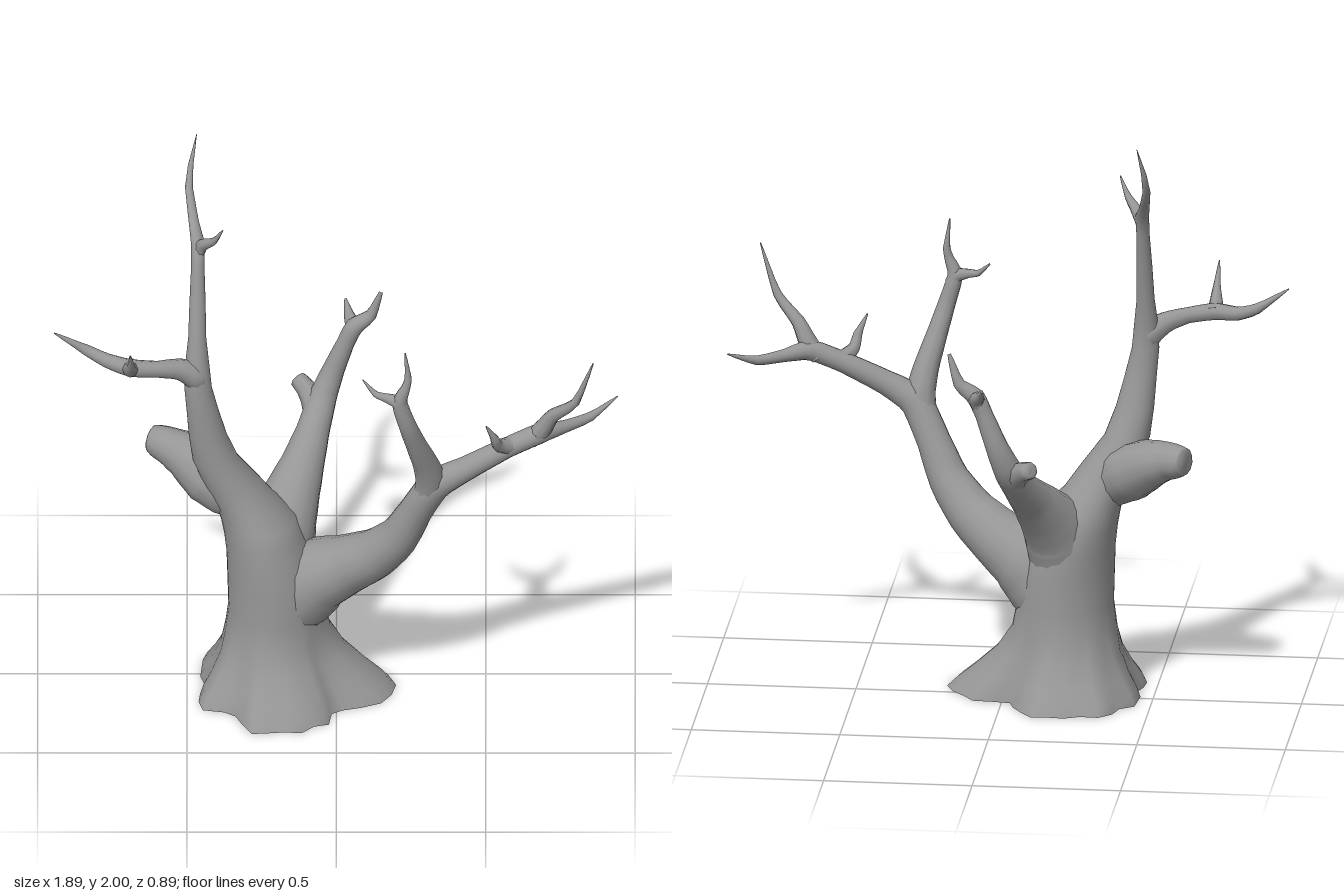
import * as THREE from 'three';
import { mergeVertices } from 'three/addons/utils/BufferGeometryUtils.js';

const bark = new THREE.MeshStandardMaterial({ color: 0x969696 });
const openBark = new THREE.MeshStandardMaterial({ color: 0x969696, side: THREE.DoubleSide });
const lerp = THREE.MathUtils.lerp;

// Ragged root outline: one radius every ten degrees
const roots = [.37, .36, .34, .29, .25, .24, .29, .28, .31, .30, .31, .33,
  .29, .26, .27, .32, .31, .29, .27, .29, .30, .32, .30, .33,
  .34, .31, .32, .31, .32, .28, .25, .22, .25, .31, .32, .35];

// Trunk and tall limb: [y, centre x, centre z, radius x, radius z, root weight]
const rings = [
  [0, -.17, .07, .17, .17, 1], [.035, -.175, .068, .17, .17, .85], [.08, -.18, .065, .17, .17, .6],
  [.15, -.19, .06, .168, .17, .27], [.23, -.2, .055, .165, .17, .07], [.32, -.2, .055, .162, .17, 0],
  [.43, -.207, .055, .158, .17, 0], [.52, -.225, .05, .143, .166, 0], [.6, -.245, .047, .132, .16, 0],
  [.66, -.262, .05, .126, .142, 0], [.72, -.3, .055, .105, .114, 0], [.8, -.348, .063, .096, .094, 0],
  [.9, -.405, .076, .077, .077, 0], [1, -.43, .092, .064, .06, 0], [1.1, -.447, .104, .054, .047, 0],
  [1.2, -.463, .111, .046, .043, 0], [1.28, -.466, .104, .041, .039, 0], [1.38, -.466, .084, .03, .032, 0],
  [1.5, -.465, .055, .027, .028, 0], [1.63, -.464, .02, .022, .025, 0], [1.7, -.464, -.003, .023, .027, 0],
  [1.75, -.478, -.06, .017, .023, 0], [1.83, -.494, -.145, .013, .018, 0], [1.9, -.488, -.173, .009, .01, 0],
  [2, -.468, -.208, .001, .001, 0]];

function trunk() {
  const n = roots.length, verts = [], index = [];
  rings.forEach(([y, cx, cz, rx, rz, w], i) => {
    for (let j = 0; j < n; j++) {
      const a = j / n * Math.PI * 2;
      verts.push(cx + Math.cos(a) * lerp(rx, roots[j], w), y, cz + Math.sin(a) * lerp(rz, roots[j], w));
      if (i === rings.length - 1) continue;
      const p = i * n + j, q = i * n + (j + 1) % n;
      index.push(p, p + n, q, q, p + n, q + n);
    }
  });
  const geo = new THREE.BufferGeometry();
  geo.setAttribute('position', new THREE.Float32BufferAttribute(verts, 3));
  geo.setIndex(index);
  geo.computeVertexNormals();
  const mesh = new THREE.Mesh(geo, openBark);
  mesh.name = 'trunk';
  return mesh;
}

// True where a point lies well inside the trunk.
function insideTrunk(x, y, z) {
  const i = rings.findIndex(r => r[0] > y);
  if (i < 1) return false;
  const t = (y - rings[i - 1][0]) / (rings[i][0] - rings[i - 1][0]);
  const [, cx, cz, rx, rz] = rings[i].map((b, k) => lerp(rings[i - 1][k], b, t));
  return Math.hypot((x - cx) / rx, (z - cz) / rz) < .96;
}

// Tapered limb along a gently kinked path; each point is [x, y, z, radius].
function limb(name, points, sides = 10) {
  const path = points.map(([x, y, z]) => new THREE.Vector3(x, y, z));
  const curve = new THREE.CatmullRomCurve3(path, false, 'catmullrom', .32);
  curve.getPointAt = (t, v) => curve.getPoint(t, v);
  curve.getTangentAt = (t, v) => curve.getTangent(t, v);
  const steps = (points.length - 1) * 3;
  const tube = new THREE.TubeGeometry(curve, steps, 1, sides, false);
  const pos = tube.attributes.position;
  const v = new THREE.Vector3();
  for (let i = 0; i <= steps; i++) {
    const t = i / 3, k = Math.min(Math.floor(t), points.length - 2);
    const r = lerp(points[k][3], points[k + 1][3], t - k);
    const c = curve.getPoint(i / steps);
    for (let j = 0; j <= sides; j++) {
      const n = i * (sides + 1) + j;
      v.fromBufferAttribute(pos, n).sub(c).multiplyScalar(r).add(c);
      pos.setXYZ(n, v.x, v.y, v.z);
    }
  }
  tube.deleteAttribute('uv');
  tube.deleteAttribute('normal');
  const geo = mergeVertices(tube, 1e-5);
  geo.computeVertexNormals();
  // Trim the faces buried in the trunk
  const p = geo.attributes.position, kept = [];
  for (let i = 0; i < geo.index.count; i += 3) {
    const face = [0, 1, 2].map(k => geo.index.getX(i + k));
    if (!face.every(f => insideTrunk(p.getX(f), p.getY(f), p.getZ(f)))) kept.push(...face);
  }
  geo.setIndex(kept);
  const mesh = new THREE.Mesh(geo, bark);
  mesh.name = name;
  return mesh;
}

export function createModel() {
  const tree = new THREE.Group();
  tree.name = 'bareTree';

  // Trunk rising into the tall limb, with its twigs and sawn stub
  const tall = new THREE.Group();
  tall.name = 'trunkAndTallLimb';
  tall.add(
    trunk(),
    limb('topTwig', [[-.465, 1.65, .01, .018], [-.45, 1.7, .015, .022], [-.41, 1.745, .06, .012],
      [-.38, 1.808, .092, .002]], 8),
    limb('sideBranch', [[-.46, 1.2, .108, .036], [-.475, 1.25, .112, .048], [-.53, 1.285, .132, .036],
      [-.6, 1.302, .16, .028], [-.69, 1.315, .172, .03], [-.77, 1.322, .135, .024],
      [-.84, 1.35, .112, .018], [-.945, 1.42, .12, .002]]),
    limb('sideTwig', [[-.688, 1.31, .155, .03], [-.69, 1.325, .2, .026], [-.687, 1.37, .255, .014],
      [-.69, 1.45, .31, .002]], 8),
    limb('sawnStub', [[-.31, .72, .06, .06], [-.36, .745, .045, .085], [-.42, .79, .015, .1], [-.49, .835, -.03, .085],
      [-.55, .858, -.06, .067], [-.6, .867, -.088, .055], [-.618, .868, -.098, .046], [-.623, .868, -.1, 0]], 12));

  // Spreading limb on the left, forking into two branches
  const wide = new THREE.Group();
  wide.name = 'spreadingLimb';
  wide.add(
    limb('spreadingBranch', [[-.17, .27, .06, .12], [-.14, .36, .07, .137], [-.07, .445, .09, .132],
      [.03, .507, .122, .103], [.13, .582, .17, .085], [.21, .68, .215, .069],
      [.265, .8, .25, .057], [.33, .925, .285, .054], [.43, .988, .287, .042], [.57, 1.06, .268, .035],
      [.68, 1.105, .25, .035], [.76, 1.1, .2, .022], [.85, 1.1, .135, .016], [.942, 1.14, .07, .002]], 16),
    limb('outerTwig', [[.65, 1.08, .25, .03], [.69, 1.13, .26, .033], [.725, 1.195, .28, .024],
      [.8, 1.275, .325, .015], [.86, 1.445, .35, .002]], 8),
    limb('smallTwig', [[.61, 1.075, .262, .028], [.57, 1.075, .28, .03], [.54, 1.1, .315, .02],
      [.53, 1.14, .34, .015], [.5, 1.205, .362, .002]], 8),
    limb('upperBranch', [[.29, .84, .265, .045], [.315, .94, .29, .052], [.3, 1.03, .325, .044],
      [.27, 1.13, .37, .036], [.24, 1.23, .408, .03], [.212, 1.33, .418, .026], [.232, 1.39, .42, .016],
      [.24, 1.43, .418, .012], [.23, 1.53, .42, .002]]),
    limb('upperTwig', [[.225, 1.3, .416, .024], [.205, 1.332, .415, .025], [.165, 1.343, .405, .016],
      [.13, 1.35, .392, .011], [.088, 1.392, .37, .002]], 8));

  // Back limb with a knot and a forked end
  const back = new THREE.Group();
  back.name = 'backLimb';
  back.add(
    limb('backBranch', [[-.21, .4, .03, .11], [-.2, .5, .012, .122], [-.182, .585, -.02, .118],
      [-.152, .655, -.075, .098], [-.115, .73, -.15, .075], [-.08, .805, -.24, .057],
      [-.047, .89, -.32, .048], [-.012, .98, -.345, .038], [.03, 1.09, -.345, .03],
      [.06, 1.155, -.345, .031], [.115, 1.2, -.347, .02], [.15, 1.3, -.335, .006]], 16),
    limb('backTwig', [[.045, 1.12, -.345, .028], [.055, 1.15, -.36, .028], [.042, 1.17, -.4, .018],
      [.03, 1.205, -.442, .004]], 8),
    limb('backKnot', [[-.065, .84, -.28, .045], [-.075, .875, -.32, .044], [-.1, .9, -.36, .035],
      [-.128, .917, -.393, .03], [-.132, .919, -.397, 0]], 8));

  tree.add(tall, wide, back);
  return tree;
}
